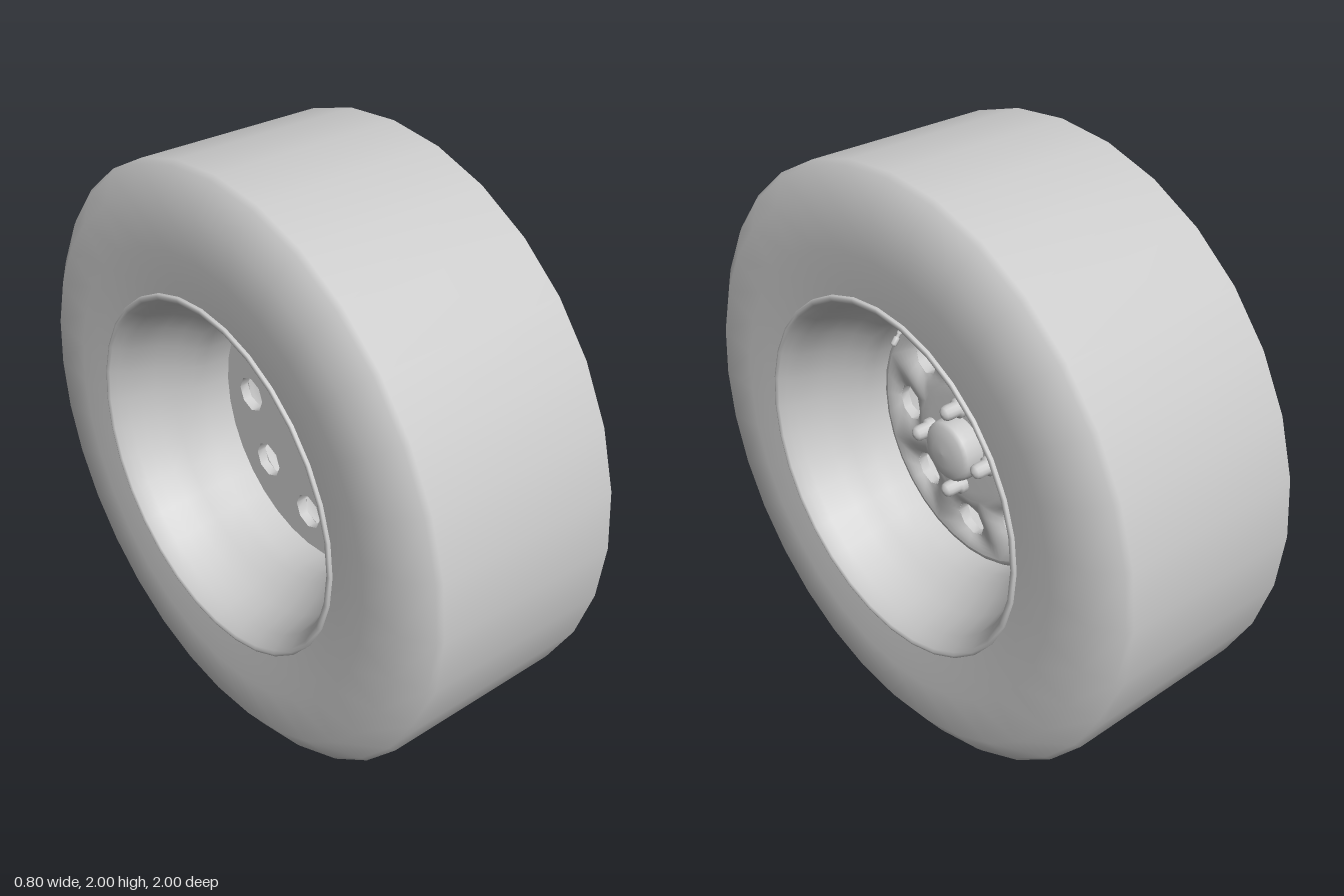
import * as THREE from 'three';
import { mergeVertices } from 'three/addons/utils/BufferGeometryUtils.js';

const SEGMENTS = 32;
const HOLES = 8, HOLE_RING = 0.315, HOLE_RADIUS = 0.063;
const DISC_IN = 0.205, DISC_OUT = 0.425, DISC_BACK = 0.0;

const material = new THREE.MeshStandardMaterial({ color: 0xcccccc });

function addMesh(parent, name, geometry) {
  const mesh = new THREE.Mesh(geometry, material);
  mesh.name = name;
  parent.add(mesh);
  return mesh;
}

// Profile of [radius, x] turned around the x axle
function turned(profile, segments = SEGMENTS) {
  const points = profile.map(([r, x]) => new THREE.Vector2(r, x));
  return new THREE.LatheGeometry(points, segments).rotateZ(-Math.PI / 2);
}

// Corner k of 16 around a hole, as [radial, sideways] offset of an octagon
function holeOffset(k) {
  const r = HOLE_RADIUS * (k % 2 ? Math.cos(Math.PI / 8) : 1);
  const a = (k / 16) * Math.PI * 2;
  return [r * Math.cos(a), r * Math.sin(a)];
}

// Walk of 16 steps around a square from -1 to 1
function squareStep(k) {
  const wrapped = Math.abs(((k + 24) % 16) - 8);
  return THREE.MathUtils.clamp((4 - wrapped) / 2, -1, 1);
}

// Pressed front of the disc: one dished sector around each hole
function discFrontGeometry() {
  const positions = [], index = [];
  const rows = 5;
  const addRows = (list) => {
    const start = positions.length / 3;
    list.forEach((row) => row.forEach((p) => positions.push(...p)));
    for (let j = 0; j < list.length - 1; j++) {
      for (let k = 0; k < 16; k++) {
        const n = (k + 1) % 16;
        const a = start + j * 16 + k, d = start + j * 16 + n;
        index.push(a, a + 16, d + 16, a, d + 16, d);
      }
    }
  };
  for (let h = 0; h < HOLES; h++) {
    const turn = (h / HOLES) * Math.PI * 2;
    const list = [];
    for (let j = 0; j <= rows; j++) {
      const v = j / rows, row = [];
      for (let k = 0; k < 16; k++) {
        const [dr, ds] = holeOffset(k);
        const rim = HOLE_RING + squareStep(k) * (DISC_OUT - DISC_IN) / 2;
        const side = squareStep(k - 4) * Math.PI / HOLES;
        const up = THREE.MathUtils.lerp(HOLE_RING + dr, rim * Math.cos(side), v);
        const across = THREE.MathUtils.lerp(ds, rim * Math.sin(side), v);
        const t = THREE.MathUtils.smoothstep(Math.hypot(up, across), DISC_IN, DISC_OUT);
        const x = 0.075 - 0.02 * t - 0.025 * (1 - v) ** 2;
        row.push([x,
          up * Math.cos(turn) - across * Math.sin(turn),
          up * Math.sin(turn) + across * Math.cos(turn)]);
      }
      list.push(row);
    }
    addRows(list);
    // Wall of the hole
    addRows([list[0].map(([, y, z]) => [DISC_BACK, y, z]), list[0].map(([x, y, z]) => [x - 0.0005, y, z])]);
  }
  const geometry = new THREE.BufferGeometry();
  geometry.setAttribute('position', new THREE.Float32BufferAttribute(positions, 3));
  geometry.setIndex(index);
  const merged = mergeVertices(geometry, 1e-4);
  merged.computeVertexNormals();
  return merged;
}

// Flat back of the disc with the same holes
function discBackGeometry() {
  const shape = new THREE.Shape().absarc(0, 0, 0.452, 0, Math.PI * 2);
  for (let h = 0; h < HOLES; h++) {
    const turn = (h / HOLES) * Math.PI * 2;
    const corners = [];
    for (let k = 0; k < 16; k += 2) {
      const [dr, ds] = holeOffset(k);
      const up = HOLE_RING + dr;
      corners.push(new THREE.Vector2(
        up * Math.sin(turn) + ds * Math.cos(turn),
        up * Math.cos(turn) - ds * Math.sin(turn)));
    }
    shape.holes.push(new THREE.Path(corners));
  }
  return new THREE.ShapeGeometry(shape, 16).rotateY(-Math.PI / 2).translate(DISC_BACK, 0, 0);
}

export function createModel() {
  const wheel = new THREE.Group();
  wheel.name = 'wheel';
  wheel.position.y = 1;

  // Tyre: mirrored sidewalls and a flat tread
  const sidewall = [[0.6, 0.388], [0.66, 0.393], [0.75, 0.398], [0.9, 0.4], [0.985, 0.34], [1, 0.325]];
  addMesh(wheel, 'tyre', turned([
    ...sidewall.map(([r, x]) => [r, -x]),
    ...sidewall.slice().reverse(),
  ]));

  // Rim: lips on both sides and a barrel narrowing towards the disc
  const barrel = [
    [0.605, 0.385], [0.604, 0.397], [0.595, 0.4], [0.585, 0.395], [0.572, 0.372],
    [0.555, 0.345], [0.545, 0.3], [0.53, 0.25], [0.5, 0.19], [0.465, 0.14], [0.452, 0.1],
  ];
  addMesh(wheel, 'rim', turned([
    ...barrel, [0.452, 0],
    ...barrel.slice().reverse().map(([r, x]) => [r, -x]),
  ]));

  // Disc
  const disc = new THREE.Group();
  disc.name = 'disc';
  wheel.add(disc);
  addMesh(disc, 'discFront', discFrontGeometry());
  addMesh(disc, 'discBack', discBackGeometry());
  addMesh(disc, 'discFlange', turned([[0.452, 0.02], [0.447, 0.04], [0.438, 0.052], [DISC_OUT, 0.055]]));
  addMesh(disc, 'hubFace', turned([[DISC_IN, 0.075], [0.17, 0.08], [0, 0.08]]));

  // Hub cap with a slightly domed face
  addMesh(wheel, 'hubCap', turned([
    [0, 0.165], [0.05, 0.162], [0.09, 0.152], [0.103, 0.14], [0.107, 0.12], [0.107, 0.07],
  ].reverse().map(([r, x]) => [r, x]), 24));

  // Four wheel nuts: collar, shank and rounded end
  for (let i = 0; i < 4; i++) {
    const a = (i / 4) * Math.PI * 2;
    const nut = addMesh(wheel, 'wheelNut', turned([
      [0.034, 0.07], [0.034, 0.1], [0.026, 0.105], [0.026, 0.14],
      [0.022, 0.152], [0.012, 0.159], [0, 0.161],
    ], 12));
    nut.position.set(0, 0.147 * Math.cos(a), 0.147 * Math.sin(a));
  }

  // Valve stem leaning out of the barrel
  const valve = new THREE.Group();
  valve.name = 'valve';
  valve.position.set(0.285, 0.535, 0);
  valve.rotation.z = -0.9;
  wheel.add(valve);
  addMesh(valve, 'valveStem', turned([[0.009, -0.01], [0.009, 0.05], [0.006, 0.052], [0.006, 0.065]], 8));
  addMesh(valve, 'valveCap', turned([[0.006, 0.062], [0.01, 0.064], [0.01, 0.086], [0.006, 0.092], [0, 0.093]], 8));
  return wheel;
}
